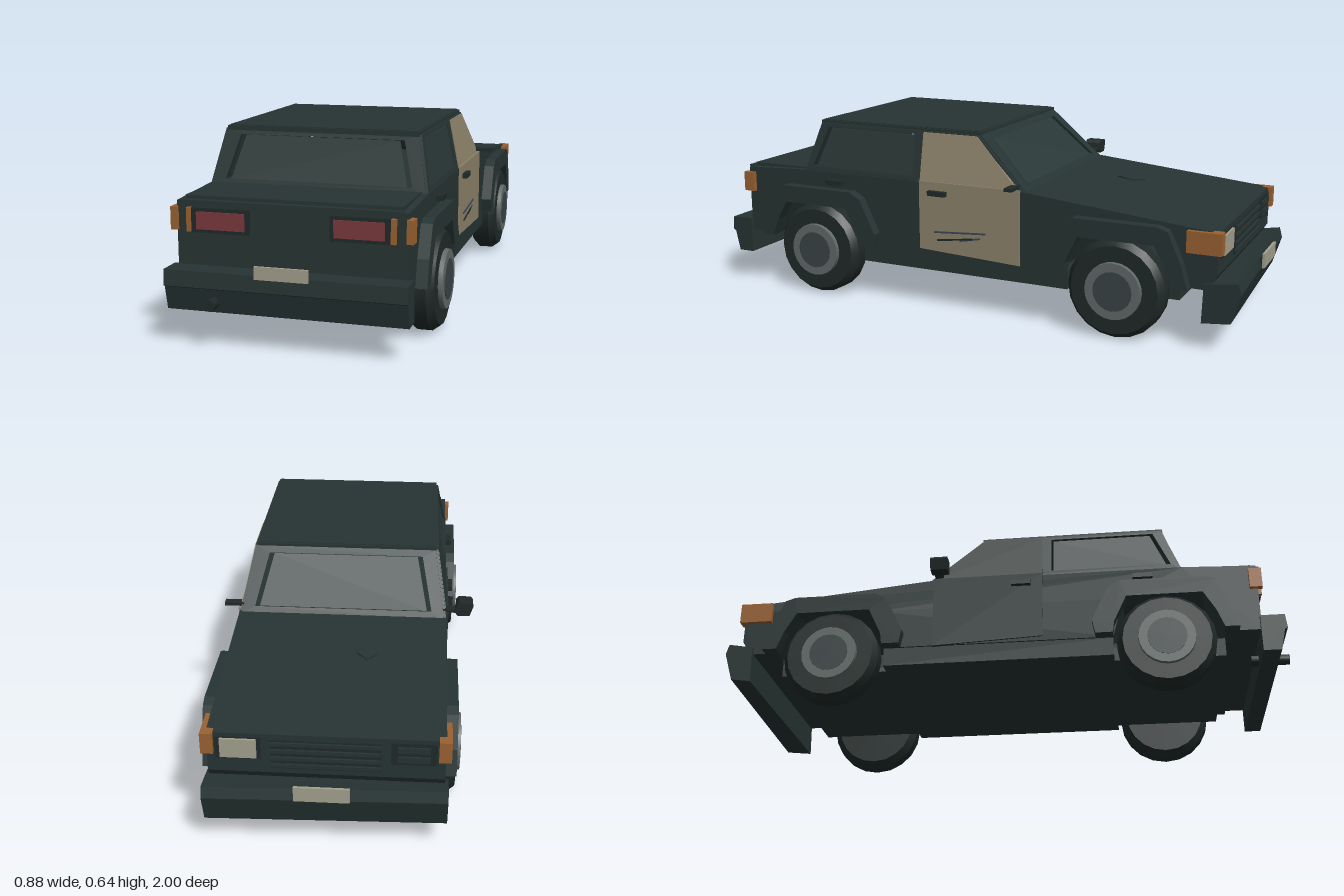
import * as THREE from 'three';
import { toCreasedNormals } from 'three/addons/utils/BufferGeometryUtils.js';

const colours = {
  bodyPaint: 0x263433, tyreBlack: 0x202a29, windowGlass: 0x2a3837, rimGrey: 0x616a68, hubGrey: 0x3a4445,
  amberLamp: 0x9a6232, redLamp: 0x7a383d, beigePaint: 0x8f846c, pale: 0xa3a08d, scratchBlue: 0x3b4658,
};
const mats = {};
for (const [name, color] of Object.entries(colours)) {
  mats[name] = new THREE.MeshStandardMaterial({ color });
  mats[name].name = name;
}

export function createModel() {
  const root = new THREE.Group();
  root.name = 'car';
  const car = new THREE.Group();
  car.name = 'carParts';
  car.position.x = 0.017;
  root.add(car);

  const add = (name, geo, mat) => {
    const mesh = new THREE.Mesh(geo, mats[mat]);
    mesh.name = name;
    car.add(mesh);
    return mesh;
  };
  // box given by its lower and upper limits
  const box = (name, mat, x0, x1, y0, y1, z0, z1) => {
    const geo = new THREE.BoxGeometry(x1 - x0, y1 - y0, z1 - z0);
    return add(name, geo.translate((x0 + x1) / 2, (y0 + y1) / 2, (z0 + z1) / 2), mat);
  };
  // outline extruded along x (points are z,y) or along z (points are x,y), then shifted by a rule
  const slab = (name, mat, axis, pts, depth, shift = () => 0, holes = []) => {
    const toV = (list) => list.map(([a, b]) => new THREE.Vector2(a, b));
    const shape = new THREE.Shape(toV(pts));
    holes.forEach((h) => shape.holes.push(new THREE.Path(toV(h))));
    const geo = new THREE.ExtrudeGeometry(shape, { depth, bevelEnabled: false });
    geo.translate(0, 0, -depth / 2);
    if (axis === 'x') geo.rotateY(-Math.PI / 2);
    const p = geo.attributes.position;
    for (let i = 0; i < p.count; i++) {
      const d = shift(p.getY(i));
      if (axis === 'x') p.setX(i, p.getX(i) + d);
      else p.setZ(i, p.getZ(i) + d);
    }
    geo.computeVertexNormals();
    return add(name, geo, mat);
  };

  // lower body with open wheel wells, floor and sills
  slab('body', 'bodyPaint', 'x', [
    [-0.91, 0.39], [-0.91, 0.25], [-0.88, 0.2], [-0.78, 0.2], [-0.71, 0.345], [-0.43, 0.345], [-0.37, 0.2],
    [0.4, 0.2], [0.44, 0.345], [0.72, 0.345], [0.78, 0.2], [0.9, 0.2], [0.9, 0.445], [0.65, 0.455], [-0.245, 0.455],
  ], 0.734);
  box('floor', 'bodyPaint', -0.31, 0.31, 0.135, 0.2, -0.775, 0.78);
  box('sills', 'bodyPaint', -0.36, 0.36, 0.135, 0.2, -0.4, 0.4);
  box('trunkLid', 'bodyPaint', -0.345, 0.345, 0.44, 0.46, 0.65, 0.885);
  box('trunkLip', 'bodyPaint', -0.35, 0.35, 0.435, 0.45, 0.89, 0.912);

  // roof
  box('roof', 'bodyPaint', -0.324, 0.324, 0.624, 0.639, -0.058, 0.592);
  box('roofEdge', 'bodyPaint', -0.318, 0.318, 0.619, 0.642, -0.05, 0.586);

  // sloping screens, each with a narrow gap between glass and frame
  const rearSlope = (y) => 0.638 - (y - 0.455) * 0.34;
  const frontSlope = (y) => -0.235 + (y - 0.455) * 1.06;
  for (const [name, slope] of [['rearScreen', rearSlope], ['windscreen', frontSlope]]) {
    slab(name + 'Frame', 'bodyPaint', 'z',
      [[-0.358, 0.45], [0.358, 0.45], [0.322, 0.63], [-0.322, 0.63]], 0.02, slope,
      [[[-0.313, 0.47], [0.313, 0.47], [0.276, 0.612], [-0.276, 0.612]]]);
    slab(name + 'Glass', 'windowGlass', 'z',
      [[-0.297, 0.468], [0.297, 0.468], [0.259, 0.609], [-0.259, 0.609]], 0.01, slope);
  }

  for (const s of [1, -1]) {
    const label = s > 0 ? 'left' : 'right';
    const wall = (y) => s * (0.356 - (y - 0.45) * 0.2);
    const doorWindow = [[0.146, 0.473], [-0.212, 0.473], [-0.055, 0.615], [0.146, 0.615]];
    const rearWindow = [[0.612, 0.473], [0.556, 0.617], [0.192, 0.617], [0.192, 0.473]];

    // cabin side and its windows
    slab(label + 'CabinSide', 'bodyPaint', 'x',
      [[0.645, 0.45], [-0.245, 0.45], [-0.052, 0.63], [0.588, 0.63]], 0.02, wall, [rearWindow, doorWindow]);
    slab(label + 'RearWindow', 'windowGlass', 'x',
      [[0.598, 0.472], [0.545, 0.612], [0.199, 0.612], [0.199, 0.472]], 0.01, wall);
    slab(label + 'DoorWindow', 'windowGlass', 'x', doorWindow, 0.012, wall);

    // front door, beige on the left
    const doorMat = s > 0 ? 'beigePaint' : 'bodyPaint';
    slab(label + 'DoorFrame', doorMat, 'x',
      [[0.16, 0.45], [-0.228, 0.45], [-0.05, 0.626], [0.16, 0.626]], 0.026, wall, [doorWindow]);
    slab(label + 'DoorPanel', doorMat, 'x',
      [[0.16, 0.215], [-0.228, 0.197], [-0.228, 0.46], [0.16, 0.46]], 0.012, () => s * 0.367);
    for (const z of [0.085, 0.51]) {
      const x = s * 0.378;
      box(label + 'DoorHandle', 'tyreBlack', x - 0.012, x + 0.012, 0.413, 0.43, z - 0.034, z + 0.034);
    }

    for (const [end, f] of [['Rear', 1], ['Front', -1]]) {
      // angular arch flare
      const arch = [
        [0.825, 0.2], [0.8, 0.285], [0.755, 0.385], [0.72, 0.397], [0.43, 0.397], [0.39, 0.375], [0.33, 0.25], [0.34, 0.2],
        [0.4, 0.2], [0.405, 0.24], [0.45, 0.335], [0.71, 0.335], [0.75, 0.265], [0.775, 0.2],
      ].map(([z, y]) => [z * f, y]);
      slab(label + end + 'Arch', 'bodyPaint', 'x', arch, 0.045, () => s * 0.382);

      // wheel: tyre, rim ring and hub
      const turned = (geo, x) => toCreasedNormals(
        geo.rotateZ(-s * Math.PI / 2).translate(s * x, 0.169, f * 0.58), 0.45);
      const tyre = [[0, -0.0485], [0.145, -0.0485], [0.168, -0.025], [0.168, 0.025], [0.15, 0.0485], [0, 0.0485]]
        .map(([r, y]) => new THREE.Vector2(r, y));
      add(label + end + 'Tyre', turned(new THREE.LatheGeometry(tyre, 20), 0.3565), 'tyreBlack');
      add(label + end + 'Rim', turned(new THREE.CylinderGeometry(0.096, 0.097, 0.016, 24), 0.412), 'rimGrey');
      add(label + end + 'Hub', turned(new THREE.CylinderGeometry(0.067, 0.067, 0.004, 20), 0.42), 'hubGrey');
    }

    // tail lamps
    const pair = (name, mat, a, b, y0, y1, z0, z1) =>
      box(label + name, mat, Math.min(s * a, s * b), Math.max(s * a, s * b), y0, y1, z0, z1);
    pair('TailLampHousing', 'tyreBlack', 0.128, 0.315, 0.35, 0.427, 0.89, 0.913);
    pair('TailLamp', 'redLamp', 0.141, 0.297, 0.361, 0.416, 0.91, 0.918);
    pair('RearIndicator', 'amberLamp', 0.315, 0.33, 0.352, 0.427, 0.89, 0.917);
    pair('RearCornerLamp', 'amberLamp', 0.362, 0.383, 0.355, 0.427, 0.872, 0.915);

    // front corner lamps and lamp recesses
    pair('FrontCornerLamp', 'amberLamp', 0.345, 0.384, 0.32, 0.392, -0.924, -0.81);
    pair('HeadlampRecess', 'tyreBlack', 0.2, 0.34, 0.3, 0.378, -0.914, -0.9);

    // mirror arm
    pair('MirrorArm', 'tyreBlack', 0.34, s > 0 ? 0.423 : 0.41, 0.465, 0.476, -0.222, -0.192);
  }

  // remaining headlamp, and bare bulb mounts on the other side
  box('headlamp', 'pale', 0.212, 0.325, 0.308, 0.374, -0.922, -0.91);
  for (const y of [0.322, 0.356]) {
    box('bulbMount', 'bodyPaint', -0.32, -0.22, y - 0.01, y + 0.01, -0.92, -0.91);
  }
  // grille
  box('grilleBack', 'tyreBlack', -0.17, 0.17, 0.27, 0.372, -0.915, -0.9);
  for (let i = 0; i < 4; i++) {
    const y = 0.278 + i * 0.026;
    box('grilleSlat', 'bodyPaint', -0.17, 0.17, y, y + 0.011, -0.922, -0.91);
  }

  // the mirror head that is still attached
  slab('mirrorHead', 'tyreBlack', 'z',
    [[-0.447, 0.456], [-0.405, 0.456], [-0.397, 0.466], [-0.4, 0.495], [-0.41, 0.505], [-0.452, 0.503], [-0.459, 0.493]],
    0.06, () => -0.197);

  // bumpers, the front one knocked askew
  slab('rearBumper', 'bodyPaint', 'x',
    [[0.895, 0.115], [0.955, 0.115], [0.972, 0.19], [0.982, 0.195], [0.977, 0.245], [0.895, 0.245]], 0.764);
  const bumper = slab('frontBumper', 'bodyPaint', 'x',
    [[-0.866, 0.092], [-0.954, 0.102], [-0.984, 0.2], [-0.974, 0.237], [-0.87, 0.222]], 0.756);
  const bp = bumper.geometry.attributes.position;
  for (let i = 0; i < bp.count; i++) {
    if (bp.getZ(i) < -0.9) bp.setZ(i, bp.getZ(i) - bp.getX(i) * 0.034 + 0.006);
  }
  bumper.geometry.computeVertexNormals();

  // number plates without lettering, and the exhaust
  box('rearPlate', 'pale', -0.086, 0.083, 0.235, 0.275, 0.975, 0.984);
  box('frontPlate', 'pale', -0.08, 0.092, 0.212, 0.262, -1, -0.991);
  box('frontPlateMount', 'tyreBlack', -0.03, 0.04, 0.21, 0.23, -0.992, -0.95);
  const pipe = new THREE.CylinderGeometry(0.018, 0.018, 0.13, 12).rotateX(Math.PI / 2);
  add('exhaust', toCreasedNormals(pipe.translate(-0.225, 0.147, 0.935), 0.6), 'tyreBlack');

  // dent patch on the bonnet and scratches on the beige door
  const dent = add('bonnetPatch', new THREE.CylinderGeometry(0.042, 0.042, 0.006, 5), 'bodyPaint');
  dent.scale.set(0.9, 1, 1.25);
  dent.position.set(-0.103, 0.436, -0.46);
  dent.rotation.set(-0.096, Math.PI, 0, 'XYZ');
  for (const [z, y, len, tilt, mat] of [
    [0, 0.288, 0.2, 0.07, 'scratchBlue'], [0.02, 0.262, 0.14, 0.13, 'tyreBlack'], [-0.04, 0.268, 0.08, 0.2, 'scratchBlue'],
  ]) {
    const mark = add('doorScratch', new THREE.BoxGeometry(0.004, 0.006, len), mat);
    mark.position.set(0.374, y, z);
    mark.rotation.x = tilt;
  }
  return root;
}
